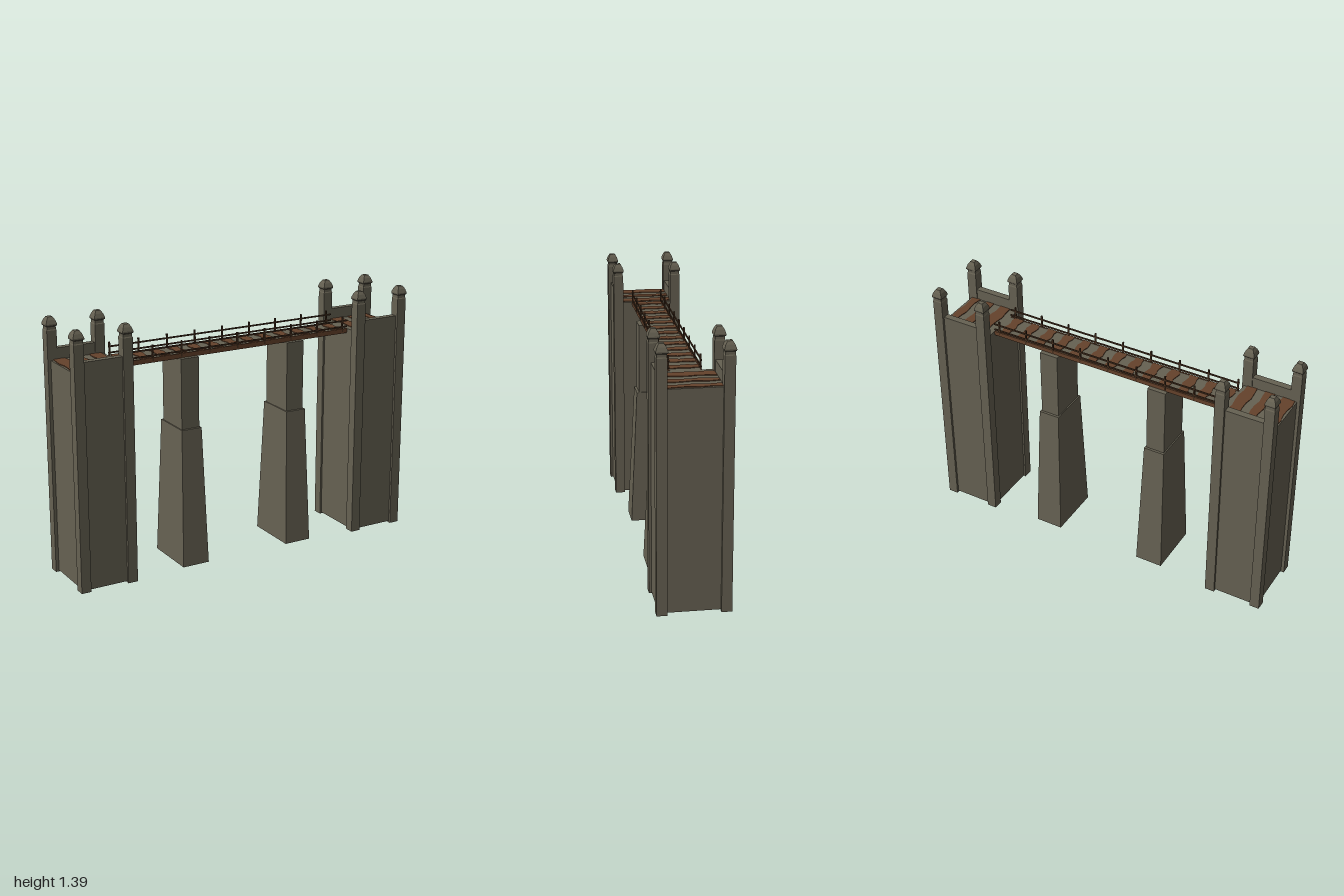
import * as THREE from 'three';

const stone = new THREE.MeshStandardMaterial({ color: 0x666152 });
stone.name = 'stone';
const wood = new THREE.MeshStandardMaterial({ color: 0x65422b });
wood.name = 'wood';
const darkWood = new THREE.MeshStandardMaterial({ color: 0x46301f });
darkWood.name = 'dark wood';

// Faceted normals
function facet(geometry) {
  const g = geometry.index ? geometry.toNonIndexed() : geometry;
  g.computeVertexNormals();
  return g;
}

function add(parent, name, geometry, material, x = 0, y = 0, z = 0) {
  const mesh = new THREE.Mesh(geometry, material);
  mesh.name = name;
  mesh.position.set(x, y, z);
  parent.add(mesh);
  return mesh;
}

// Box given by its lower and upper corners
function block(parent, name, material, [x0, y0, z0], [x1, y1, z1]) {
  return add(parent, name, new THREE.BoxGeometry(x1 - x0, y1 - y0, z1 - z0), material,
    (x0 + x1) / 2, (y0 + y1) / 2, (z0 + z1) / 2);
}

// Square turned profile: pairs of half width and height
function squareLathe(profile) {
  const pts = profile.map(([half, y]) => new THREE.Vector2(half * Math.SQRT2, y));
  return facet(new THREE.LatheGeometry(pts, 4, Math.PI / 4));
}

// Thin plank with uneven long edges
function plank(parent, x0, x1, halfZ, y, seed) {
  const steps = 6;
  const wobble = (i, k) => 0.005 * Math.sin(seed * 2.3 + i * 1.9 + k * 4.1);
  const shape = new THREE.Shape();
  for (let i = 0; i <= steps; i++) {
    const v = -halfZ + (2 * halfZ * i) / steps;
    if (i === 0) shape.moveTo(x1 + wobble(i, 1), v);
    else shape.lineTo(x1 + wobble(i, 1), v);
  }
  for (let i = steps; i >= 0; i--) shape.lineTo(x0 + wobble(i, 2), -halfZ + (2 * halfZ * i) / steps);
  const g = new THREE.ExtrudeGeometry(shape, { depth: 0.004, bevelEnabled: false });
  g.rotateX(-Math.PI / 2);
  add(parent, 'plank', g, wood, 0, y, 0);
}

function tower(side) {
  const group = new THREE.Group();
  group.name = side > 0 ? 'leftTower' : 'rightTower';
  const xs = [0.686 * side, 0.98 * side].sort((a, b) => a - b);
  block(group, 'towerBody', stone, [xs[0], 0.008, -0.176], [xs[1], 1.16, 0.176]);
  const post = squareLathe([[0, 0], [0.027, 0], [0.027, 1.315], [0.0245, 1.32], [0.0245, 1.335],
    [0.03, 1.34], [0.03, 1.348], [0.023, 1.368], [0.013, 1.384], [0, 1.387]]);
  for (const z of [-1, 1]) {
    const zs = [0.14 * z, 0.176 * z].sort((a, b) => a - b);
    block(group, 'parapet', stone, [xs[0], 1.16, zs[0]], [xs[1], 1.22, zs[1]]);
    for (const x of [0.703, 0.97]) add(group, 'cornerPost', post, stone, side * x, 0, z * 0.162);
  }
  // Boards across the tower floor
  const boards = side > 0
    ? [[0.725, 0.79], [0.835, 0.88], [0.925, 0.968]]
    : [[-0.97, -0.9], [-0.855, -0.81], [-0.765, -0.703]];
  boards.forEach(([a, b], i) => plank(group, a, b, 0.138, 1.16, i + side * 5));
  return group;
}

function pier(x) {
  const group = new THREE.Group();
  group.name = 'pier';
  const base = facet(new THREE.CylinderGeometry(0.76 * Math.SQRT2, Math.SQRT2, 0.755, 4, 1, false, Math.PI / 4)
    .scale(0.077, 1, 0.153));
  add(group, 'pierBase', base, stone, 0, 0.3775, 0);
  block(group, 'pierShaft', stone, [-0.052, 0.75, -0.103], [0.052, 1.137, 0.103]);
  group.position.x = x;
  return group;
}

function bridge() {
  const group = new THREE.Group();
  group.name = 'bridge';
  block(group, 'deckBeam', wood, [-0.7, 1.135, -0.079], [0.7, 1.156, 0.079]);
  block(group, 'deckSurface', stone, [-0.69, 1.156, -0.076], [0.69, 1.16, 0.076]);
  // Boards across the walkway
  for (let i = 0; i < 13; i++) {
    const x = -0.675 + i * 0.1065;
    plank(group, x, x + 0.052, 0.077, 1.16, i);
  }
  // Railings on both sides
  for (const z of [-0.08, 0.08]) {
    block(group, 'deckEdge', wood, [-0.685, 1.142, z - 0.003], [0.685, 1.162, z + 0.003]);
    for (const y of [1.173, 1.206])
      block(group, 'rail', darkWood, [-0.685, y - 0.004, z - 0.003], [0.685, y + 0.004, z + 0.003]);
    for (let i = 0; i < 9; i++) {
      const x = -0.678 + i * 0.1665;
      block(group, 'railPost', darkWood, [x - 0.004, 1.145, z - 0.004], [x + 0.004, 1.23, z + 0.004]);
    }
  }
  return group;
}

export function createModel() {
  const model = new THREE.Group();
  model.name = 'footbridge';
  model.add(tower(-1), tower(1), pier(-0.308), pier(0.336), bridge());
  return model;
}
